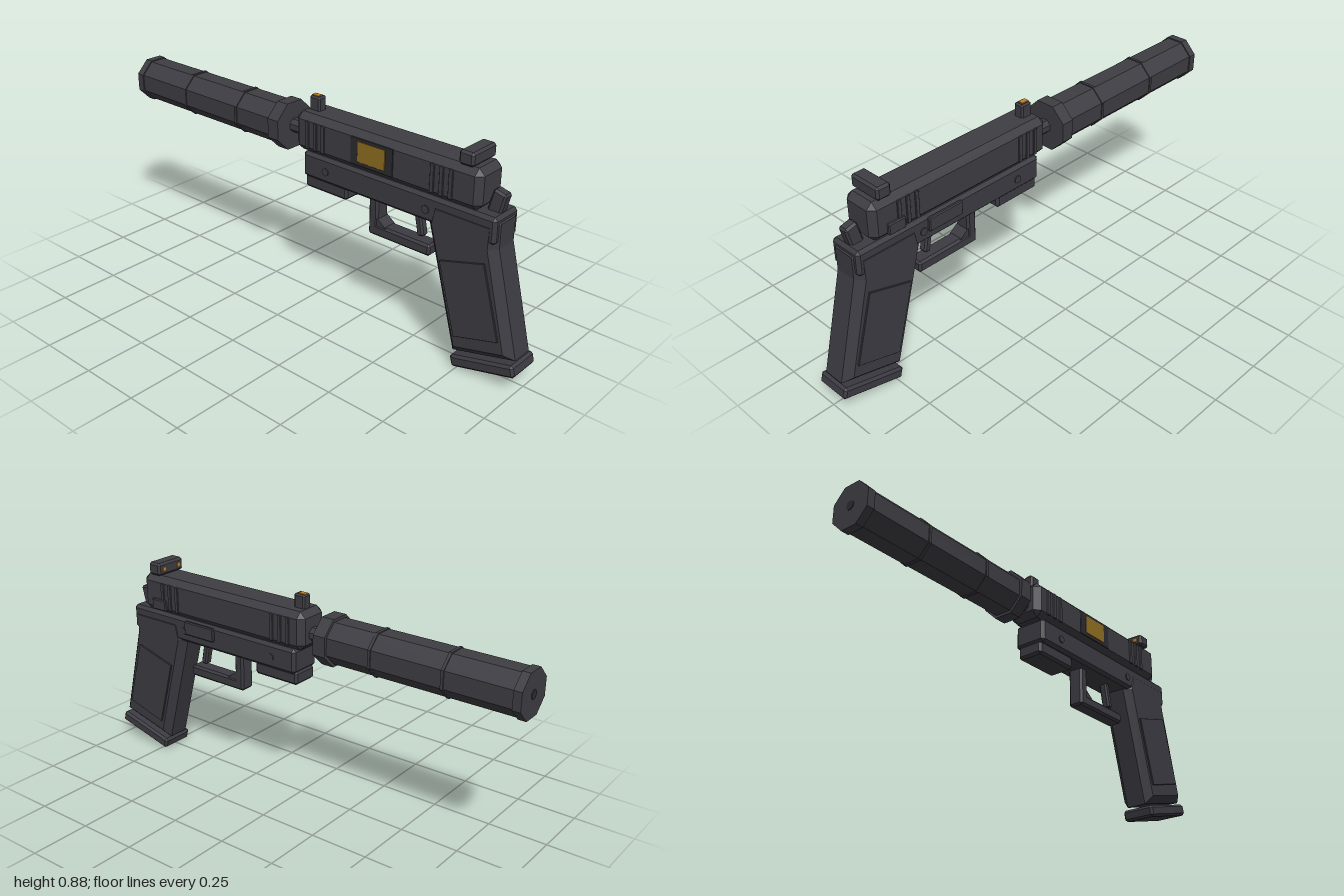
import * as THREE from 'three';
import { ConvexGeometry } from 'three/addons/geometries/ConvexGeometry.js';

const mat = (name, color) => Object.assign(new THREE.MeshStandardMaterial({ color }), { name });

export function createModel() {
  const model = new THREE.Group();
  model.name = 'pistol';
  const steel = mat('dark steel', 0x3e3d43);
  const polymer = mat('polymer', 0x3c3b42);
  const shade = mat('near black', 0x2c2b30);
  const brass = mat('brass', 0x8f6d20);
  const amber = mat('amber sight dot', 0xc8801e);

  const add = (name, geometry, material, parent = model) => {
    const mesh = new THREE.Mesh(geometry, material);
    mesh.name = name;
    parent.add(mesh);
    return mesh;
  };

  // Box with every edge cut at 45 degrees
  const chamferBox = (w, h, d, c) => {
    const points = [];
    for (const sx of [-1, 1]) for (const sy of [-1, 1]) for (const sz of [-1, 1]) {
      for (const [a, b, e] of [[0, c, c], [c, 0, c], [c, c, 0]]) {
        points.push(new THREE.Vector3(sx * (w / 2 - a), sy * (h / 2 - b), sz * (d / 2 - e)));
      }
    }
    return new ConvexGeometry(points);
  };

  // Chamfered box given by its half width and its y and z ranges
  const block = (name, half, [y0, y1], [z0, z1], c, material, tilt = 0, x = 0) => {
    const mesh = add(name, chamferBox(half * 2, y1 - y0, z1 - z0, c), material);
    mesh.position.set(x, (y0 + y1) / 2, (z0 + z1) / 2);
    mesh.rotation.x = tilt;
    return mesh;
  };

  // Side profile of [z, y] points, extruded across x with bevelled flanks
  const profile = (points, half, bevel) => {
    const shape = new THREE.Shape(points.map(([z, y]) => new THREE.Vector2(z, y)));
    const geometry = new THREE.ExtrudeGeometry(shape, {
      depth: 2 * (half - bevel), bevelEnabled: bevel > 0, bevelSize: bevel,
      bevelThickness: bevel, bevelOffset: -bevel, bevelSegments: 1,
    });
    return geometry.translate(0, 0, bevel - half).rotateY(-Math.PI / 2);
  };

  // Octagonal tube section along z, with flats up and to the sides
  const octagon = (name, apothem, z0, z1, material) => {
    const r = apothem / Math.cos(Math.PI / 8);
    const geometry = new THREE.CylinderGeometry(r, r, z1 - z0, 8)
      .rotateY(Math.PI / 8).rotateX(Math.PI / 2).toNonIndexed();
    geometry.computeVertexNormals();
    add(name, geometry, material).position.set(0, 0.725, (z0 + z1) / 2);
  };

  // Suppressor and barrel
  octagon('barrel', 0.028, -0.14, -0.03, steel);
  octagon('suppressorCollar', 0.097, -0.185, -0.13, steel);
  octagon('suppressorBody', 0.085, -0.98, -0.18, steel);
  octagon('suppressorEndCap', 0.09, -0.998, -0.965, steel);
  for (const z of [-0.38, -0.69]) octagon('suppressorRing', 0.089, z - 0.006, z + 0.006, steel);
  octagon('muzzle', 0.018, -1, -0.99, shade);

  // Slide with serrations on both sides
  block('slide', 0.077, [0.665, 0.824], [-0.06, 0.805], 0.025, steel);
  for (const side of [-1, 1]) {
    for (const z of [0.01, 0.05, 0.09, 0.605, 0.645, 0.685]) {
      block('serration', 0.004, [0.685, 0.8], [z - 0.009, z + 0.009], 0.002, steel, 0, side * 0.078);
    }
  }

  // Ejection port
  block('portFrame', 0.003, [0.69, 0.8], [0.23, 0.43], 0.001, shade, 0, -0.077);
  block('chamber', 0.003, [0.705, 0.788], [0.265, 0.395], 0.001, brass, 0, -0.079);

  // Sights with dots
  block('rearSight', 0.072, [0.824, 0.878], [0.705, 0.768], 0.009, steel);
  block('frontSight', 0.022, [0.815, 0.88], [-0.03, 0.022], 0.007, steel);
  block('frontSightDot', 0.011, [0.877, 0.882], [-0.026, 0.008], 0.001, amber);
  for (const x of [-0.042, 0.042]) {
    block('rearSightDot', 0.009, [0.842, 0.86], [0.702, 0.707], 0.001, amber, 0, x);
  }

  // Frame, accessory rail, hammer and side controls
  block('frame', 0.073, [0.56, 0.667], [-0.02, 0.875], 0.013, polymer);
  block('rail', 0.058, [0.51, 0.568], [-0.02, 0.195], 0.01, polymer);
  block('hammer', 0.022, [0.65, 0.745], [0.81, 0.866], 0.008, steel, 0.25);
  block('safetyLever', 0.008, [0.68, 0.727], [0.665, 0.742], 0.004, steel, 0, 0.08);
  block('slideStop', 0.008, [0.603, 0.662], [0.398, 0.56], 0.004, steel, 0, 0.079);
  for (const z of [0.1, 0.58]) {
    const pin = new THREE.CylinderGeometry(0.016, 0.016, 0.154, 10).rotateZ(Math.PI / 2);
    add('framePin', pin, steel).position.set(0, 0.61, z);
  }

  // Trigger and guard
  block('trigger', 0.018, [0.455, 0.57], [0.495, 0.525], 0.007, steel, -0.2);
  block('guardPost', 0.034, [0.41, 0.57], [0.285, 0.33], 0.009, polymer);
  block('guardBar', 0.034, [0.395, 0.443], [0.285, 0.577], 0.009, polymer);
  add('guardCorner', profile([[0.375, 0.435], [0.32, 0.435], [0.32, 0.475], [0.335, 0.465]], 0.03, 0), polymer);

  // Raked grip, side panels and base plate
  add('grip', profile([[0.88, 0.545], [0.88, 0.64], [0.865, 0.655], [0.6, 0.655], [0.58, 0.56],
    [0.716, 0.06], [0.984, 0.13]], 0.075, 0.03), polymer);
  const panel = [[0.845, 0.487], [0.657, 0.433], [0.737, 0.144], [0.925, 0.198]];
  for (const side of [-1, 1]) {
    add('gripPanel', profile(panel, 0.0045, 0.001), polymer).position.x = side * 0.0775;
  }
  block('basePlate', 0.074, [0.036, 0.086], [0.719, 0.999], 0.01, polymer, -0.25);

  return model;
}
